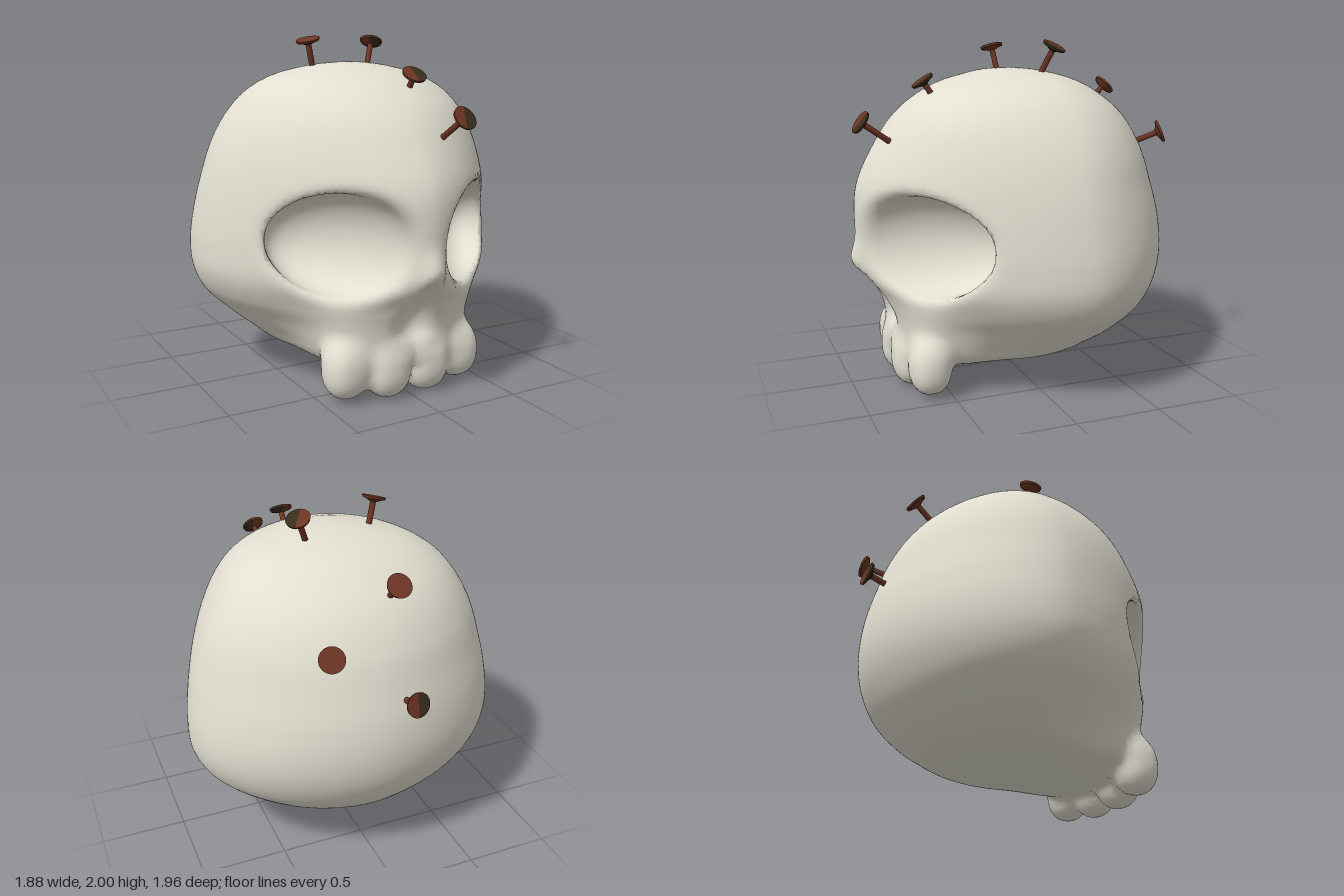
import * as THREE from 'three';

const makeMaterial = (name, color) => Object.assign(new THREE.MeshStandardMaterial({ color }), { name });
const bone = makeMaterial('bone', 0xe2dfd1);
const rust = makeMaterial('rust', 0x6e3524);
const darkRust = makeMaterial('darkRust', 0x3a2d1d);

// Cranium sections: height, half width, front z, back z
const sections = [
  [0.13, 0.02, 0.32, 0.28], [0.16, 0.31, 0.55, -0.05], [0.2, 0.48, 0.66, -0.36], [0.3, 0.63, 0.7, -0.6],
  [0.4, 0.75, 0.74, -0.72], [0.52, 0.87, 0.82, -0.81], [0.65, 0.93, 0.9, -0.87], [0.8, 0.94, 0.93, -0.9],
  [1.0, 0.915, 0.95, -0.89], [1.2, 0.87, 0.93, -0.84], [1.4, 0.8, 0.83, -0.77], [1.6, 0.68, 0.68, -0.64],
  [1.7, 0.58, 0.55, -0.52], [1.78, 0.43, 0.39, -0.38], [1.82, 0.28, 0.25, -0.25], [1.85, 0.02, 0.02, -0.02],
];
const sectionAt = new THREE.CubicInterpolant(
  sections.map((s) => s[0]),
  sections.flatMap(([, w, f, b]) => [w * w, b + 0.4 * (f - b), (f - b) / w]), 3);

// Smooth union and smooth cut of two fields (negative = inside)
function join(a, b, k) {
  const t = Math.max(k - Math.abs(a - b), 0) / k;
  return Math.min(a, b) - t * t * k * 0.25;
}
const cut = (a, b, k) => -join(-a, b, k);

function ellipsoid(x, y, z, rx, ry, rz, n = 2) {
  const d = Math.pow(Math.abs(x / rx) ** n + Math.abs(y / ry) ** n + Math.abs(z / rz) ** n, 1 / n);
  return (d - 1) * Math.min(rx, ry, rz);
}

function cranium(x, y, z) {
  const [w2, z0, span] = sectionAt.evaluate(y);
  const outside = Math.max(0, y - 1.85, 0.13 - y);
  const dz = z - z0;
  const top = THREE.MathUtils.smoothstep(y, 1.1, 1.8);
  const n = dz > 0 ? 1.63 + 0.37 * top : 1.88 + 0.12 * top; // wedge-like face, round back
  const depth = Math.abs(dz) / (span * (dz > 0 ? 0.6 : 0.4));
  const rho = Math.pow(x ** n + depth ** n, 1 / n);
  return (rho * rho - w2 + 3 * outside) / (rho + 0.6);
}

// The whole skull as one field, symmetric in x
function skullField(px, y, z) {
  const x = Math.abs(px);
  let f = cranium(x, y, z);
  // upper jaw and nose bridge
  f = join(f, ellipsoid(x, y - 0.37, z - 0.47, 0.46, 0.24, 0.265, 2.7), 0.14);
  f = join(f, ellipsoid(x, y - 0.745, z - 0.9, 0.06, 0.1, 0.08), 0.08);
  // eye sockets: bowls sheared along the slanted face
  const ez = z - (0.67 - 0.9 * (x - 0.41));
  f = cut(f, ellipsoid(x - 0.41, y - 0.89, ez, 0.305, 0.285, 0.34), 0.08);
  // nose opening, wider at the bottom and leaning with the face
  const widen = 1 - 2 * THREE.MathUtils.clamp(y - 0.53, -0.2, 0.3);
  f = cut(f, ellipsoid(x / widen, y - 0.53, z - 0.91 - 0.7 * (y - 0.53), 0.115, 0.18, 0.16), 0.07);
  // teeth
  f = join(f, ellipsoid(x - 0.125, y - 0.17, z - 0.66, 0.135, 0.16, 0.12, 2.3), 0.06);
  f = join(f, ellipsoid(x - 0.365, y - 0.19, z - 0.62, 0.13, 0.16, 0.12, 2.3), 0.06);
  return f;
}

function gradient(field, x, y, z) {
  const e = 0.006;
  return new THREE.Vector3(
    field(x + e, y, z) - field(x - e, y, z),
    field(x, y + e, z) - field(x, y - e, z),
    field(x, y, z + e) - field(x, y, z - e)).divideScalar(2 * e);
}

// Smooth skin over a field: one point per crossed grid cell, one quad per crossed grid edge
function skin(field, min, count, h) {
  const [nx, ny, nz] = count;
  const strides = [1, nx, nx * ny];
  const id = (i, j, k) => i + nx * j + nx * ny * k;
  const at = (i, j, k) => [min[0] + i * h, min[1] + j * h, min[2] + k * h];
  const values = new Float32Array(nx * ny * nz);
  for (let k = 0; k < nz; k++) for (let j = 0; j < ny; j++) for (let i = 0; i < nx; i++)
    values[id(i, j, k)] = field(...at(i, j, k));

  const pointOf = new Map(), positions = [], normals = [], index = [];
  for (let k = 0; k < nz - 1; k++) for (let j = 0; j < ny - 1; j++) for (let i = 0; i < nx - 1; i++) {
    const sum = new THREE.Vector3();
    let hits = 0;
    for (let a = 0; a < 8; a++) for (let axis = 0; axis < 3; axis++) {
      if (a & (1 << axis)) continue;
      const c = [a & 1, (a >> 1) & 1, a >> 2];
      const start = id(i + c[0], j + c[1], k + c[2]);
      const v0 = values[start], v1 = values[start + strides[axis]];
      if ((v0 < 0) === (v1 < 0)) continue;
      c[axis] = v0 / (v0 - v1);
      sum.add(new THREE.Vector3(...c));
      hits++;
    }
    if (!hits) continue;
    const p = sum.multiplyScalar(h / hits).add(new THREE.Vector3(...at(i, j, k)));
    for (let step = 0; step < 2; step++) {
      const g = gradient(field, p.x, p.y, p.z);
      const move = g.multiplyScalar(-field(p.x, p.y, p.z) / Math.max(g.lengthSq(), 0.05));
      p.add(move.clampLength(0, h * 0.4));
    }
    pointOf.set(id(i, j, k), positions.length / 3);
    positions.push(p.x, p.y, p.z);
    normals.push(...gradient(field, p.x, p.y, p.z).normalize().toArray());
  }

  for (let k = 1; k < nz - 1; k++) for (let j = 1; j < ny - 1; j++) for (let i = 1; i < nx - 1; i++)
    for (let axis = 0; axis < 3; axis++) {
      const o = id(i, j, k), inside = values[o] < 0;
      if (inside === values[o + strides[axis]] < 0) continue;
      const b = strides[(axis + 1) % 3], c = strides[(axis + 2) % 3];
      const q = [o - b - c, o - c, o, o - b].map((n) => pointOf.get(n));
      if (!inside) q.reverse();
      index.push(q[0], q[1], q[2], q[0], q[2], q[3]);
    }

  const geometry = new THREE.BufferGeometry();
  geometry.setAttribute('position', new THREE.Float32BufferAttribute(positions, 3));
  geometry.setAttribute('normal', new THREE.Float32BufferAttribute(normals, 3));
  geometry.setIndex(index);
  return geometry;
}

// Nail with a flat head, its shaft running into the bone; darkSide points to the stained half of the head
function nail(head, base, darkSide) {
  const group = new THREE.Group();
  group.name = 'nail';
  const top = new THREE.Vector3(...head);
  const axis = top.clone().sub(new THREE.Vector3(...base));
  const length = axis.length() + 0.05;
  const add = (name, material, r1, r2, height, y, start, sweep) => {
    const mesh = new THREE.Mesh(new THREE.CylinderGeometry(r1, r2, height, 12, 1, false, start, sweep), material);
    mesh.name = name;
    mesh.position.y = y;
    group.add(mesh);
  };
  [darkSide ? darkRust : rust, rust].forEach((material, half) => {
    add('nailHead', material, 0.07, 0.066, 0.014, 0.007, half * Math.PI, Math.PI);
    add('nailNeck', material, 0.058, 0.018, 0.018, -0.009, half * Math.PI, Math.PI);
  });
  add('nailShaft', rust, 0.017, 0.017, length, -length / 2, 0, 2 * Math.PI);

  const up = axis.normalize();
  const side = new THREE.Vector3(...(darkSide ?? [1, 0, 0]));
  side.addScaledVector(up, -side.dot(up)).normalize();
  group.quaternion.setFromRotationMatrix(new THREE.Matrix4().makeBasis(side, up, side.clone().cross(up)));
  group.position.copy(top);
  return group;
}

export function createModel() {
  const model = new THREE.Group();
  model.name = 'nailedSkull';

  const h = 0.03;
  const skull = new THREE.Mesh(skin(skullField, [-34 * h, -0.07, -1.0], [69, 67, 69], h), bone);
  skull.name = 'skull';
  model.add(skull);

  // head position, point where the shaft enters the bone, stained side
  const nails = [
    [[-0.275, 1.965, 0.005], [-0.24, 1.83, -0.015]],
    [[0.255, 1.965, -0.18], [0.2, 1.83, -0.13], [1, 0, 0.7]],
    [[0.1, 1.775, 0.555], [0.1, 1.71, 0.51], [1, 0, 0]],
    [[0.17, 1.56, 0.925], [0.15, 1.46, 0.78], [1, -0.3, 0]],
    [[-0.1, 1.725, -0.69], [-0.1, 1.65, -0.61]],
    [[0.335, 1.465, -0.845], [0.28, 1.41, -0.72]],
    [[-0.1, 1.165, -0.955], [-0.09, 1.14, -0.86], [-1, 0, 0]],
  ];
  for (const [head, base, darkSide] of nails) model.add(nail(head, base, darkSide));
  return model;
}
